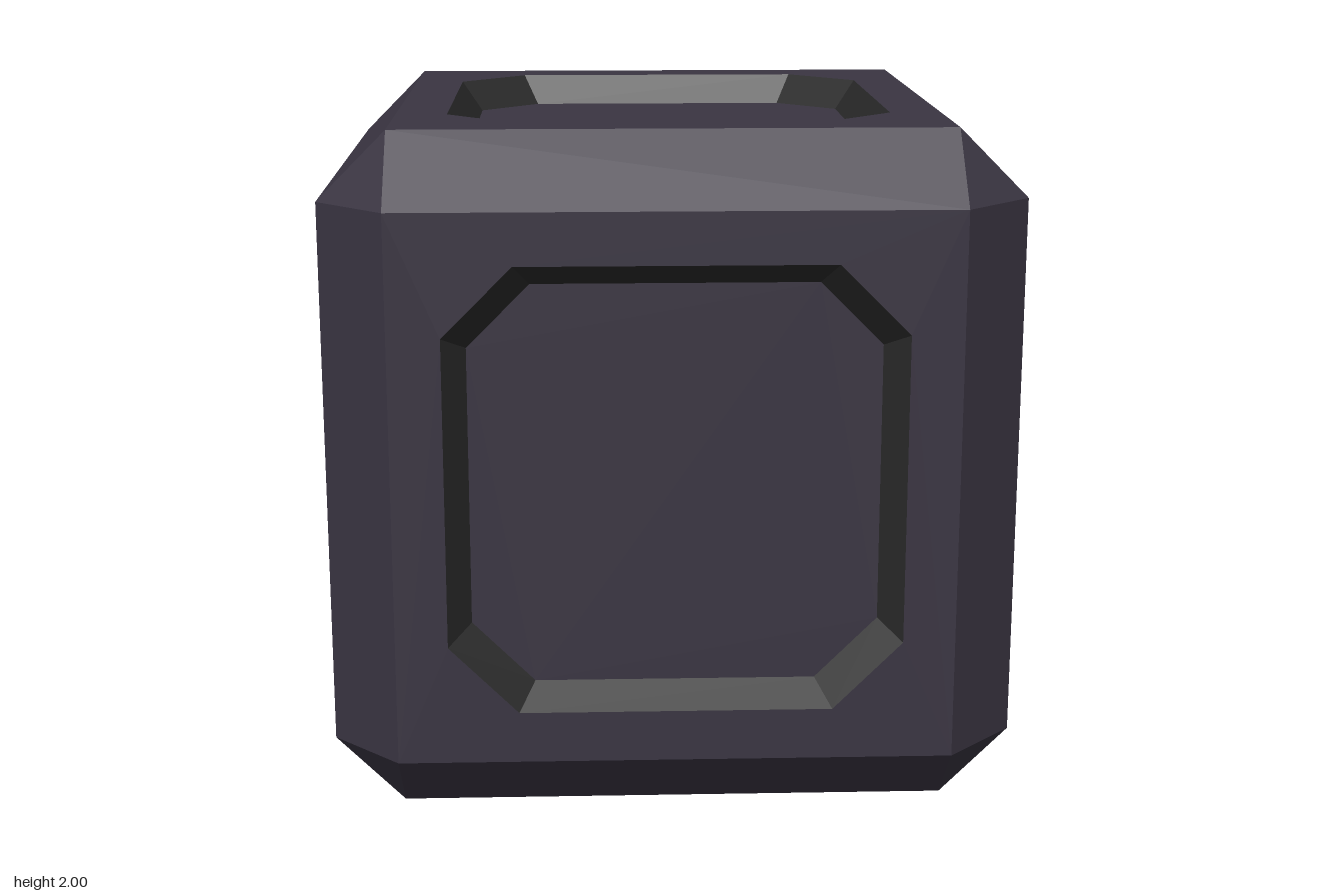
import * as THREE from 'three';

const HALF = 1, FLAT = 0.8, DEPTH = 0.09;

const bodyMaterial = new THREE.MeshStandardMaterial({ color: 0x3a3542, flatShading: true });
const wallMaterial = new THREE.MeshStandardMaterial({ color: 0x2a2a2a, flatShading: true });

function part(name, geometry, material) {
  const mesh = new THREE.Mesh(geometry, material);
  mesh.name = name;
  return mesh;
}

// Flat-shaded geometry from a list of triangles (each three Vector3)
function fromTriangles(triangles) {
  const geometry = new THREE.BufferGeometry().setFromPoints(triangles.flat());
  geometry.computeVertexNormals();
  return geometry;
}

// Square with cut corners, counter-clockwise
function octagon(scale) {
  const a = 0.65 * scale, b = 0.45 * scale;
  return [[a, -b], [a, b], [b, a], [-b, a], [-a, b], [-a, -b], [-b, -a], [b, -a]]
    .map(([x, y]) => new THREE.Vector2(x, y));
}

function squareShape() {
  return new THREE.Shape([[-1, -1], [1, -1], [1, 1], [-1, 1]]
    .map(([x, y]) => new THREE.Vector2(x * FLAT, y * FLAT)));
}

// One cube face looking along +z with a sunken octagonal panel
function recessedFace(name) {
  const face = new THREE.Group();
  face.name = name;
  const outer = octagon(1), inner = octagon(0.9);

  const frame = squareShape();
  frame.holes.push(new THREE.Path(outer));
  face.add(part('faceFrame', new THREE.ShapeGeometry(frame).translate(0, 0, HALF), bodyMaterial));

  const floor = new THREE.ShapeGeometry(new THREE.Shape(inner));
  face.add(part('recessFloor', floor.translate(0, 0, HALF - DEPTH), bodyMaterial));

  // Sloping walls between the rim and the floor
  const walls = [];
  const at = (p, z) => new THREE.Vector3(p.x, p.y, z);
  outer.forEach((p, i) => {
    const j = (i + 1) % outer.length;
    const a = at(p, HALF), b = at(outer[j], HALF);
    const c = at(inner[j], HALF - DEPTH), d = at(inner[i], HALF - DEPTH);
    walls.push([a, b, c], [a, c, d]);
  });
  face.add(part('recessWalls', fromTriangles(walls), wallMaterial));
  return face;
}

// Chamfered edges and corner triangles, all wound outwards
function chamferGeometry() {
  const triangles = [];
  const add = (a, b, c) => {
    const normal = b.clone().sub(a).cross(c.clone().sub(a));
    triangles.push(normal.dot(a) > 0 ? [a, b, c] : [a, c, b]);
  };
  const point = (axis, signs) => new THREE.Vector3(
    ...signs.map((s, k) => s * (k === axis ? HALF : FLAT)));

  for (const s of [-1, 1]) for (const t of [-1, 1]) {
    // Edge strips running along each axis
    for (let axis = 0; axis < 3; axis++) {
      const u = (axis + 1) % 3, v = (axis + 2) % 3;
      const ends = [-1, 1].map((e) => {
        const signs = [];
        signs[axis] = e; signs[u] = s; signs[v] = t;
        return signs;
      });
      const a = point(u, ends[0]), b = point(u, ends[1]);
      const c = point(v, ends[1]), d = point(v, ends[0]);
      add(a, b, c);
      add(a, c, d);
    }
    // Corners
    for (const r of [-1, 1]) add(...[0, 1, 2].map((axis) => point(axis, [s, t, r])));
  }
  return fromTriangles(triangles);
}

export function createModel() {
  const model = new THREE.Group();
  model.name = 'chamferedCube';
  const cube = new THREE.Group();
  cube.name = 'cube';
  cube.position.y = HALF;
  model.add(cube);

  cube.add(part('chamfers', chamferGeometry(), bodyMaterial));

  // Four sides and the top carry a recess
  ['frontFace', 'leftFace', 'backFace', 'rightFace'].forEach((name, i) => {
    const face = recessedFace(name);
    face.rotation.y = i * Math.PI / 2;
    cube.add(face);
  });
  const top = recessedFace('topFace');
  top.rotation.x = -Math.PI / 2;
  cube.add(top);

  // Plain underside
  const bottom = part('bottomFace', new THREE.ShapeGeometry(squareShape()).translate(0, 0, HALF), bodyMaterial);
  bottom.rotation.x = Math.PI / 2;
  cube.add(bottom);

  return model;
}
